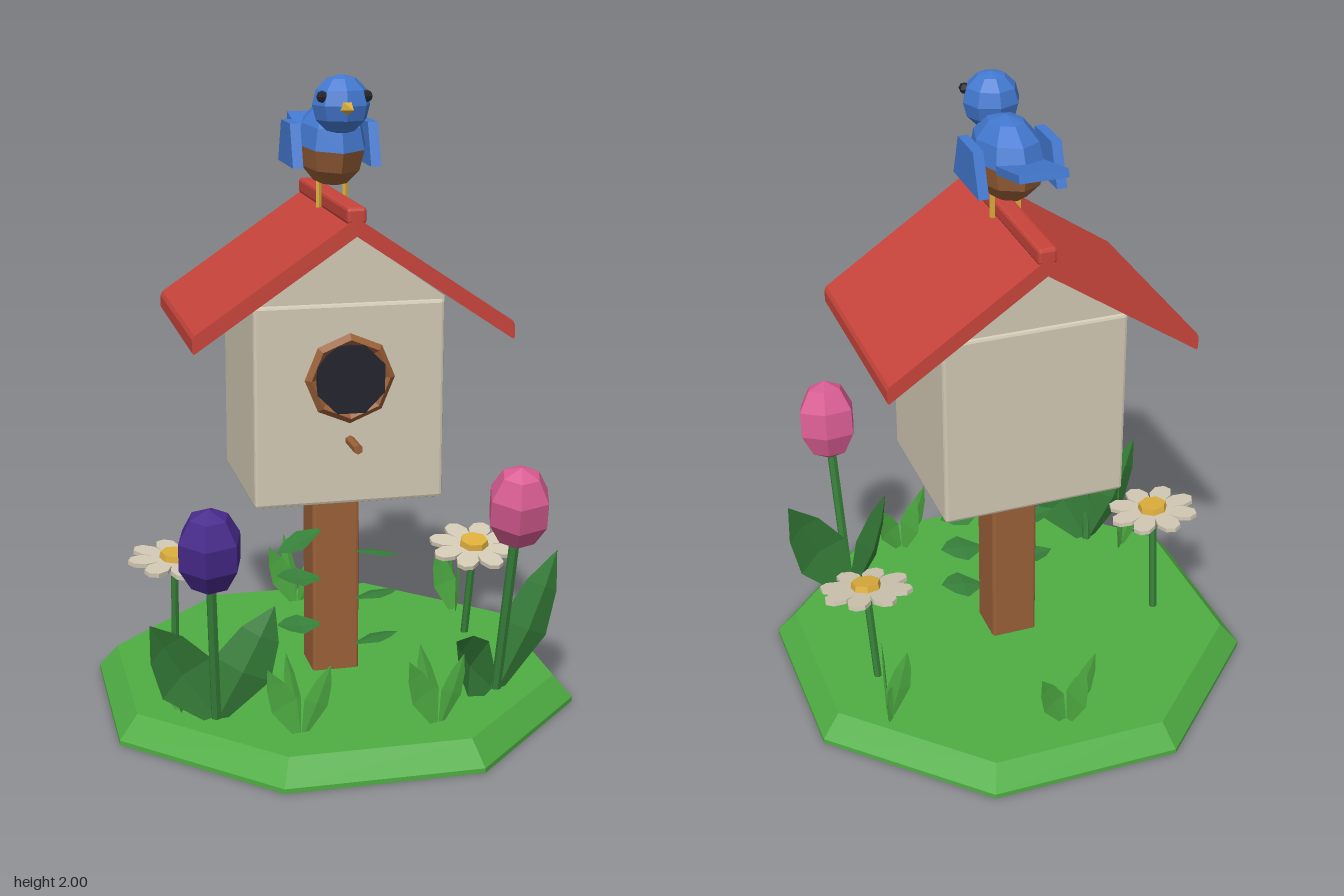
import * as THREE from 'three';
import { RoundedBoxGeometry } from 'three/addons/geometries/RoundedBoxGeometry.js';

const V = (x, y, z) => new THREE.Vector3(x, y, z);

export function createModel() {
  const model = new THREE.Group();
  model.name = 'birdhouse garden';

  const mat = (name, color, side = THREE.FrontSide) =>
    new THREE.MeshStandardMaterial({ name, color, side, flatShading: true });
  const grass = mat('grass green', 0x4fae43, THREE.DoubleSide);
  const leafGreen = mat('leaf green', 0x37803a, THREE.DoubleSide);
  const wood = mat('wood brown', 0x9a6038);
  const cream = mat('cream', 0xd2c9b4);
  const red = mat('roof red', 0xc8453b);
  const dark = mat('dark', 0x24242e);
  const blue = mat('feather blue', 0x4379d0);
  const yellow = mat('yellow', 0xdcae3c);
  const purple = mat('tulip purple', 0x482a8c);
  const pink = mat('tulip pink', 0xd85c92);

  function group(name, parent = model) {
    const g = new THREE.Group();
    g.name = name;
    parent.add(g);
    return g;
  }
  function add(name, geo, material, pos = [0, 0, 0], rot = [0, 0, 0], parent = model) {
    const m = new THREE.Mesh(geo, material);
    m.name = name;
    m.position.set(...pos);
    m.rotation.set(...rot);
    parent.add(m);
    return m;
  }
  const box = (w, h, d) => new RoundedBoxGeometry(w, h, d, 1, 0.01);

  // Straight round stalk between two points
  function rod(name, a, b, r, material, parent, sides = 6) {
    const d = b.clone().sub(a);
    const m = add(name, new THREE.CylinderGeometry(r, r, d.length(), sides), material,
      a.clone().add(b).multiplyScalar(0.5).toArray(), [0, 0, 0], parent);
    m.quaternion.setFromUnitVectors(V(0, 1, 0), d.normalize());
    return m;
  }

  // Pointed leaf: cross-sections of left edge, midrib and right edge, folded at the midrib
  function leaf(name, base, tip, side, width, fold, material, parent) {
    const d = tip.clone().sub(base);
    const normal = d.clone().normalize().cross(side);
    const pos = [], idx = [];
    [[0, 0.22], [0.45, 1], [0.75, 0.66], [1, 0]].forEach(([t, w], row) => {
      for (let k = -1; k <= 1; k++) {
        const p = base.clone().addScaledVector(d, t)
          .addScaledVector(side, k * w * width / 2)
          .addScaledVector(normal, k === 0 ? -fold * w : 0);
        pos.push(p.x, p.y, p.z);
      }
      if (row < 3) for (let k = 0; k < 2; k++) {
        const a = row * 3 + k;
        idx.push(a, a + 1, a + 4, a, a + 4, a + 3);
      }
    });
    const g = new THREE.BufferGeometry();
    g.setAttribute('position', new THREE.Float32BufferAttribute(pos, 3));
    g.setIndex(idx);
    g.computeVertexNormals();
    return add(name, g, material, [0, 0, 0], [0, 0, 0], parent);
  }
  // Leaf standing in the vertical plane through its base and tip
  function uprightLeaf(name, base, tip, width, fold, material, parent) {
    const d = tip.clone().sub(base).normalize();
    const n = V(-d.z, 0, d.x).normalize();
    leaf(name, base, tip, d.clone().cross(n).normalize(), width, fold, material, parent);
  }

  // Octagonal lawn with sloping rim
  const eighth = Math.PI / 8;
  add('lawn edge', new THREE.CylinderGeometry(0.79, 0.79, 0.015, 8), grass, [0, 0.0075, 0], [0, eighth, 0]);
  add('lawn', new THREE.CylinderGeometry(0.727, 0.79, 0.072, 8), grass, [0, 0.051, 0], [0, eighth, 0]);

  // Post and house
  add('post', box(0.152, 0.65, 0.152), wood, [0, 0.395, 0]);
  const house = group('house');
  add('walls', box(0.59, 0.625, 0.52), cream, [0, 1.0225, 0], [0, 0, 0], house);
  const prism = (points, depth) => new THREE.ExtrudeGeometry(
    new THREE.Shape(points.map(([x, y]) => new THREE.Vector2(x, y))), { depth, bevelEnabled: false })
    .translate(0, 0, -depth / 2);
  add('gable', prism([[-0.295, 1.325], [0.295, 1.325], [0.295, 1.345], [0, 1.555], [-0.295, 1.345]], 0.5),
    cream, [0, 0, 0], [0, 0, 0], house);
  for (const s of [-1, 1]) {
    const pts = [[0, 1.605], [0, 1.55], [s * 0.485, 1.222], [s * 0.49, 1.227], [s * 0.49, 1.265], [s * 0.483, 1.278]];
    add('roof slope', prism(pts, 0.69), red, [0, 0, 0], [0, 0, 0], house);
  }
  add('roof ridge', box(0.06, 0.05, 0.69), red, [0, 1.61, 0], [0, 0, 0], house);

  // Entrance hole and perch
  add('entrance ring', new THREE.TorusGeometry(0.122, 0.02, 4, 8), wood, [0, 1.105, 0.258], [0, 0, 0], house);
  add('entrance hole', new THREE.CylinderGeometry(0.113, 0.113, 0.025, 8), dark,
    [0, 1.105, 0.268], [Math.PI / 2, eighth, 0], house);
  rod('perch', V(0, 0.912, 0.25), V(0, 0.912, 0.37), 0.015, wood, house);

  // Bird
  const bird = group('bird');
  const half = (start) => new THREE.SphereGeometry(1, 8, 3, 0, Math.PI * 2, start, Math.PI / 2);
  for (const [name, start, m] of [['bird back', 0, blue], ['bird belly', Math.PI / 2, wood]])
    add(name, half(start), m, [0, 1.784, 0.003], [0.08, 0, 0], bird).scale.set(0.107, 0.13, 0.17);
  add('bird head', new THREE.SphereGeometry(0.089, 8, 6), blue, [0, 1.914, 0.137], [0, 0, 0], bird);
  add('beak', new THREE.ConeGeometry(0.024, 0.09, 5), yellow, [0, 1.91, 0.252], [Math.PI / 2, 0, 0], bird);
  add('tail', new THREE.BoxGeometry(0.15, 0.025, 0.2), blue, [0, 1.818, -0.208], [0.24, 0, 0], bird);
  for (const s of [-1, 1]) {
    add('eye', new THREE.SphereGeometry(0.018, 5, 4), dark, [s * 0.068, 1.941, 0.183], [0, 0, 0], bird);
    // Wing outline is drawn as (-z, y), then turned to face sideways
    const wing = prism([[-0.09, 1.72], [0.14, 1.72], [0.09, 1.85], [-0.045, 1.85]], 0.032);
    add('wing', wing, blue, [s * 0.121, 0, 0], [0, Math.PI / 2, 0], bird);
    rod('leg', V(s * 0.042, 1.59, 0.012), V(s * 0.042, 1.7, 0.012), 0.009, yellow, bird, 5);
  }

  // Tulips: stem, tilted bud and two broad leaves
  const tulips = [
    { m: purple, base: V(-0.44, 0.08, 0.36), head: V(-0.465, 0.655, 0.445), tilt: 0.13,
      tips: [V(-0.645, 0.43, 0.425), V(-0.26, 0.445, 0.385)] },
    { m: pink, base: V(0.46, 0.08, 0.335), head: V(0.48, 0.725, 0.453), tilt: 0.22,
      tips: [V(0.27, 0.335, 0.52), V(0.67, 0.515, 0.285)] },
  ];
  for (const { m, base, head, tilt, tips } of tulips) {
    const g = group('tulip');
    rod('tulip stem', base, head, 0.016, leafGreen, g);
    add('tulip bud', new THREE.SphereGeometry(1, 6, 5), m, head.toArray(), [tilt, 0.25, 0.03], g)
      .scale.set(0.104, 0.137, 0.104);
    for (const tip of tips) uprightLeaf('tulip leaf', base, tip, 0.19, 0.03, leafGreen, g);
  }

  // Daisies: stem, eight flat petals and a yellow centre
  const petal = new THREE.ExtrudeGeometry(new THREE.Shape(
    [[0.03, -0.016], [0.1, -0.037], [0.138, -0.027], [0.152, 0], [0.138, 0.027], [0.1, 0.037], [0.03, 0.016]]
      .map(([x, y]) => new THREE.Vector2(x, y))), { depth: 0.014, bevelEnabled: false }).rotateX(-Math.PI / 2);
  const daisies = [
    { base: V(-0.5, 0.08, -0.1), head: V(-0.502, 0.448, -0.06), rot: [0.08, 0.1, -0.06] },
    { base: V(0.5, 0.08, -0.14), head: V(0.515, 0.402, -0.1), rot: [0.2, 0.3, 0.02] },
  ];
  for (const { base, head, rot } of daisies) {
    const g = group('daisy');
    rod('daisy stem', base, head, 0.013, leafGreen, g);
    const flower = group('daisy flower', g);
    flower.position.copy(head);
    flower.rotation.set(...rot);
    for (let i = 0; i < 8; i++) add('petal', petal, cream, [0, 0, 0], [0, i * Math.PI / 4, 0], flower);
    add('daisy centre', new THREE.CylinderGeometry(0.046, 0.053, 0.035, 7), yellow, [0, 0.017, 0], [0, 0, 0], flower);
  }

  // Grass tufts: three blades leaning outwards
  const tufts = [[0, -0.55, 0.3], [0.53, -0.35, 1.5], [-0.53, 0.28, 1.3], [-0.21, 0.52, 0.25], [0.21, 0.54, 0.4]];
  for (const [x, z, turn] of tufts) {
    const g = group('grass tuft');
    [[0, 0.1, 0.2], [1.75, 0.075, 0.235], [Math.PI - 0.1, 0.105, 0.22]].forEach(([a, reach, h]) => {
      const c = Math.cos(a + turn), s = -Math.sin(a + turn);
      uprightLeaf('grass blade', V(x + c * 0.01, 0.08, z + s * 0.01),
        V(x + c * reach, 0.085 + h, z + s * reach), 0.085, 0.006, grass, g);
    });
  }

  // Small flat leaves on both sides of the post
  const sprigs = [[-1, 0.575, 0.51], [-1, 0.415, 0.432], [-1, 0.26, 0.265],
    [1, 0.495, 0.475], [1, 0.335, 0.355], [1, 0.18, 0.21]];
  for (const [s, y0, y1] of sprigs)
    leaf('post leaf', V(s * 0.06, y0, 0.1), V(s * 0.2, y1, 0.1), V(0, s * 0.15, 1).normalize(),
      0.125, 0.006, leafGreen, model);

  return model;
}
